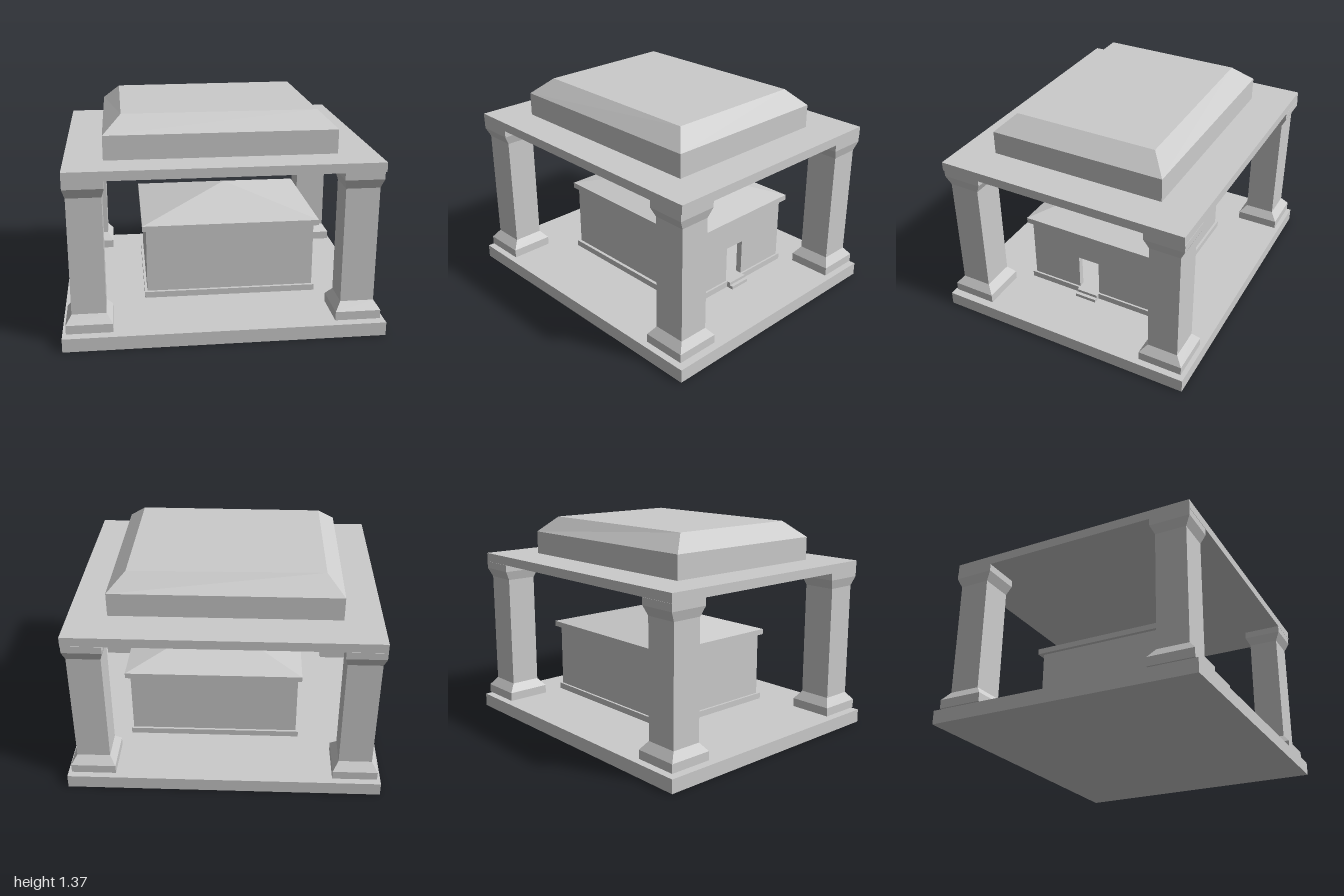
import * as THREE from 'three';

const material = new THREE.MeshStandardMaterial({ color: 0xcccccc, flatShading: true });

// Four corners of a level rectangle, in order around the vertical axis
const rect = (y, x0, x1, z0, z1) => [[x0, y, z1], [x1, y, z1], [x1, y, z0], [x0, y, z0]];
const centredRect = (y, hx, hz) => rect(y, -hx, hx, -hz, hz);

// Solid skinned through a stack of four-cornered rings, capped at both ends
function loft(name, rings) {
  const pos = [];
  const quad = (a, b, c, d) => pos.push(...a, ...b, ...c, ...a, ...c, ...d);
  for (let i = 0; i < rings.length - 1; i++) {
    for (let k = 0; k < 4; k++) {
      const n = (k + 1) % 4;
      quad(rings[i][k], rings[i][n], rings[i + 1][n], rings[i + 1][k]);
    }
  }
  quad(...rings[rings.length - 1]);
  quad(...[...rings[0]].reverse());
  const geometry = new THREE.BufferGeometry();
  geometry.setAttribute('position', new THREE.Float32BufferAttribute(pos, 3));
  geometry.computeVertexNormals();
  const mesh = new THREE.Mesh(geometry, material);
  mesh.name = name;
  return mesh;
}

// Box given by its extents
function block(name, x0, x1, y0, y1, z0, z1) {
  const mesh = new THREE.Mesh(new THREE.BoxGeometry(x1 - x0, y1 - y0, z1 - z0), material);
  mesh.position.set((x0 + x1) / 2, (y0 + y1) / 2, (z0 + z1) / 2);
  mesh.name = name;
  return mesh;
}

// Square pillar: plinth, sloped foot, shaft, flared capital
function createColumn(x, z) {
  const column = new THREE.Group();
  column.name = 'column';
  column.add(
    loft('columnBase', [
      centredRect(0.105, 0.142, 0.142),
      centredRect(0.161, 0.142, 0.142),
      centredRect(0.214, 0.105, 0.098),
    ]),
    loft('columnShaft', [centredRect(0.214, 0.105, 0.098), centredRect(0.95, 0.105, 0.098)]),
    loft('columnCapital', [
      centredRect(0.95, 0.105, 0.098),
      centredRect(1.01, 0.121, 0.127),
      centredRect(1.056, 0.121, 0.127),
    ]),
  );
  column.position.set(x, 0, z);
  return column;
}

// Hollow chamber with a doorway on its +x side
function createChamber() {
  const chamber = new THREE.Group();
  chamber.name = 'chamber';
  const [x0, x1, z0, z1] = [-0.468, 0.62, -0.444, 0.412];
  const [floor, top, t] = [0.174, 0.593, 0.04];
  const [doorZ0, doorZ1, doorTop] = [-0.076, 0.069, 0.415];
  chamber.add(
    block('chamberFloor', -0.484, 0.633, 0.134, floor, -0.46, 0.433),
    block('frontWall', x0, x1, floor, top, z1 - t, z1),
    block('backWall', x0, x1, floor, top, z0, z0 + t),
    block('rightWall', x0, x0 + t, floor, top, z0 + t, z1 - t),
    block('doorWall', x1 - t, x1, floor, top, doorZ1, z1 - t),
    block('doorWall', x1 - t, x1, floor, top, z0 + t, doorZ0),
    block('doorLintel', x1 - t, x1, doorTop, top, doorZ0, doorZ1),
    block('upperStep', 0.633, 0.657, 0.134, floor, doorZ0, doorZ1),
    block('lowerStep', 0.657, 0.68, 0.134, 0.155, doorZ0, doorZ1),
    block('eaves', -0.492, 0.65, top, 0.629, -0.474, 0.437),
  );
  // Hipped roof rising to a single point
  const apex = [0.083, 0.775, -0.014];
  chamber.add(loft('chamberRoof', [
    rect(0.629, -0.492, 0.65, -0.474, 0.437),
    [apex, apex, apex, apex],
  ]));
  return chamber;
}

export function createModel() {
  const model = new THREE.Group();
  model.name = 'pavilion';

  model.add(block('platform', -1, 1, 0, 0.087, -0.857, 0.857));

  // Columns at the four corners
  for (const [x, z] of [[-0.833, 0.687], [0.823, 0.687], [-0.833, -0.692], [0.83, -0.692]]) {
    model.add(createColumn(x, z));
  }

  model.add(createChamber());
  model.add(block('canopySlab', -0.954, 0.954, 1.056, 1.114, -0.817, 0.815));

  // Crown with bevelled upper edges
  model.add(loft('canopyCrown', [
    rect(1.114, -0.716, 0.711, -0.559, 0.589),
    rect(1.265, -0.716, 0.711, -0.559, 0.589),
    [[-0.602, 1.369, 0.473], [0.598, 1.369, 0.479], [0.598, 1.369, -0.457], [-0.607, 1.369, -0.437]],
  ]));

  return model;
}
